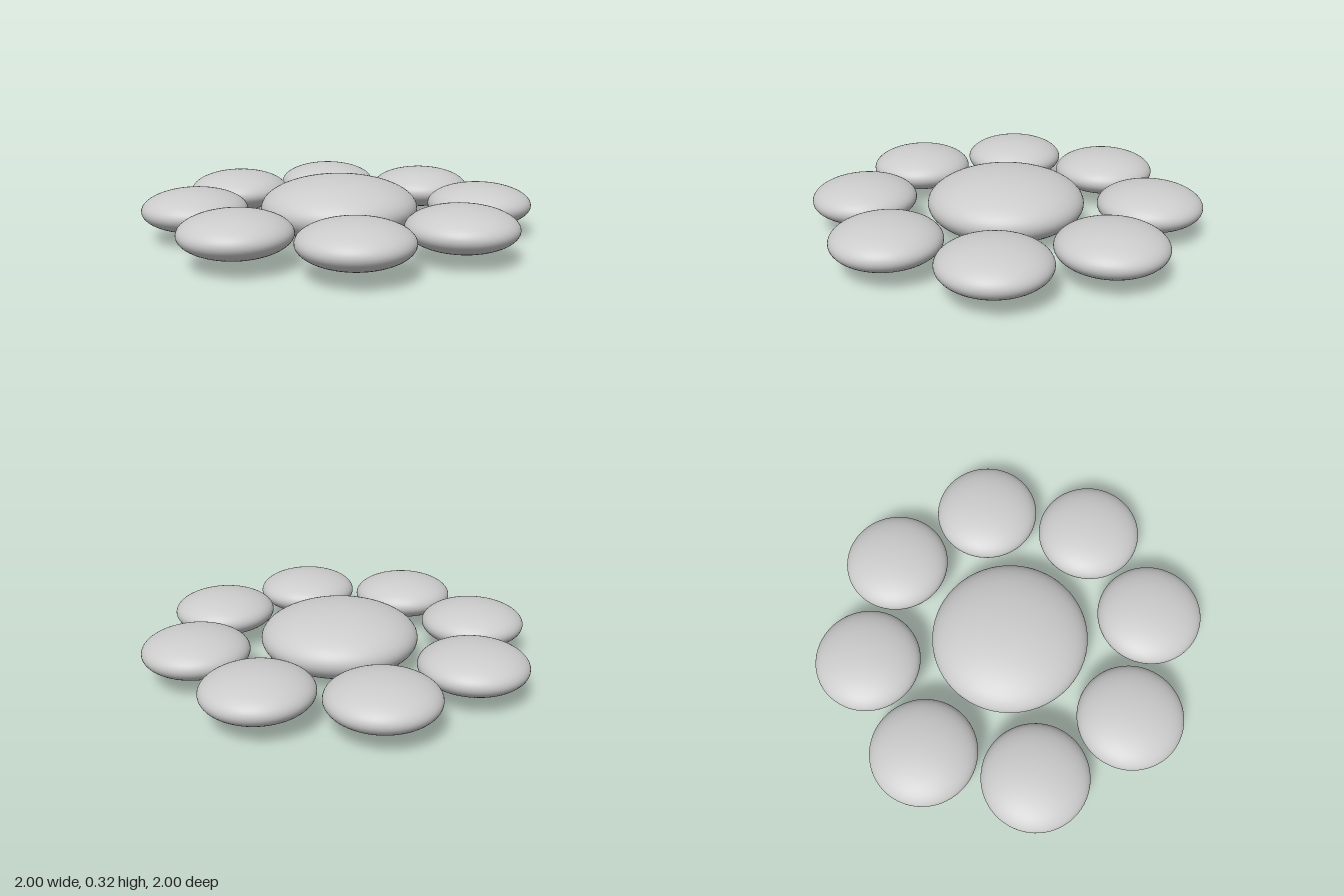
import * as THREE from 'three';

const FLATTEN = 0.4; // height of each disc relative to its width
const CENTRE_RADIUS = 0.4;
const PETAL_RADIUS = 0.267;
const RING_RADIUS = 0.733;
const PETAL_COUNT = 8;

export function createModel() {
  const model = new THREE.Group();
  model.name = 'flower';
  const material = new THREE.MeshStandardMaterial({ color: 0xcccccc });
  const sphere = new THREE.SphereGeometry(1, 64, 40);
  const midHeight = CENTRE_RADIUS * FLATTEN;

  // Flattened sphere at the shared mid height
  const addDisc = (name, radius, x, z) => {
    const disc = new THREE.Mesh(sphere, material);
    disc.name = name;
    disc.scale.set(radius, radius * FLATTEN, radius);
    disc.position.set(x, midHeight, z);
    model.add(disc);
  };

  // Large centre
  addDisc('flowerCentre', CENTRE_RADIUS, 0, 0);

  // Ring of petals
  for (let i = 0; i < PETAL_COUNT; i++) {
    const angle = (i / PETAL_COUNT) * Math.PI * 2;
    addDisc(`petal${i + 1}`, PETAL_RADIUS, Math.cos(angle) * RING_RADIUS, Math.sin(angle) * RING_RADIUS);
  }

  return model;
}
